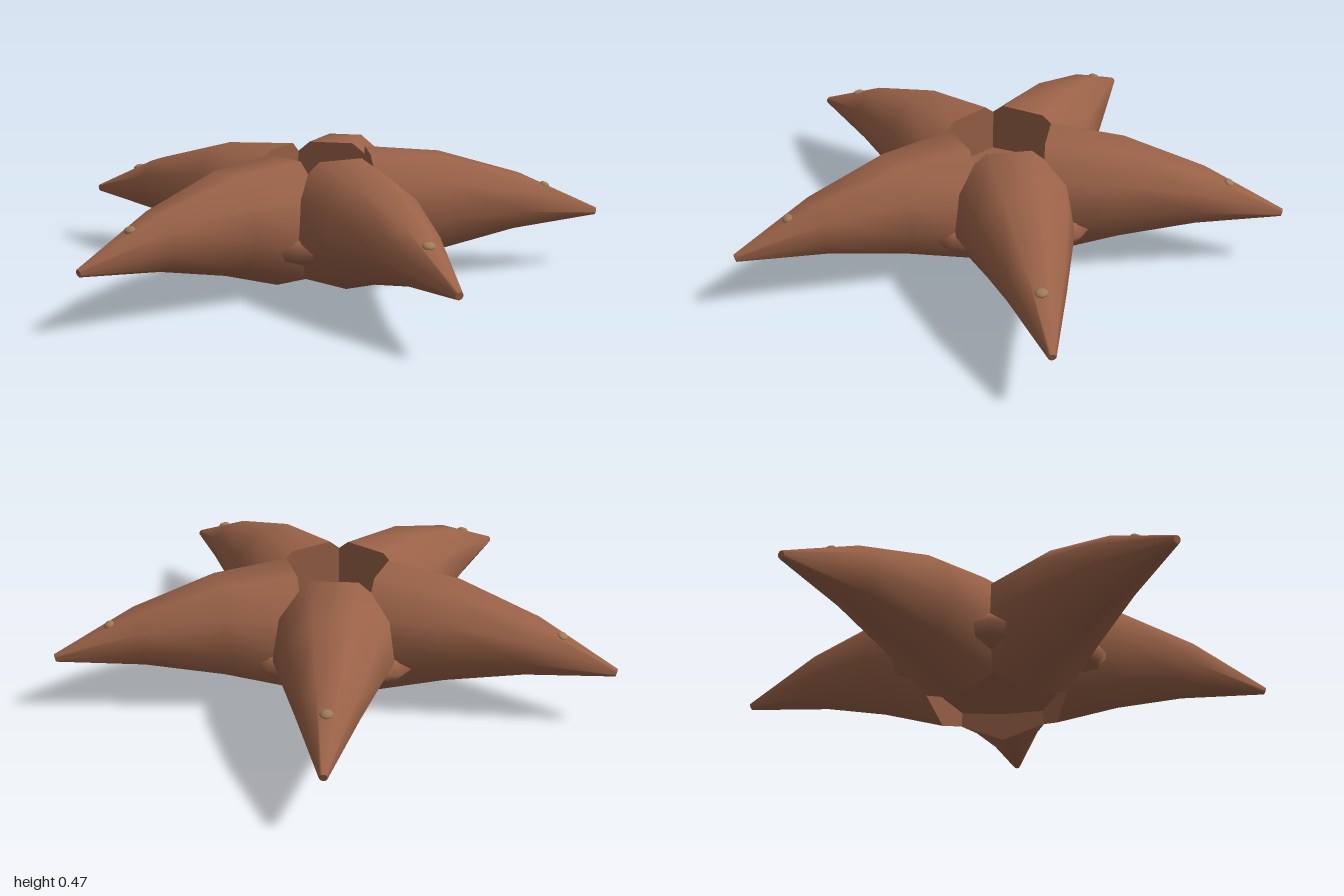
import * as THREE from 'three';
import { toCreasedNormals } from 'three/addons/utils/BufferGeometryUtils.js';

const ARMS = 5;
const CENTRE_X = -0.1;

// Arm cross-sections from base to tip: distance out, height, radius, lean
const RINGS = [
  [0.195, 0.242, 0.242, 0.1],
  [0.452, 0.272, 0.188, 0.02],
  [0.742, 0.262, 0.108, -0.1],
  [1.046, 0.213, 0.014, -0.2],
];

// Nine-sided capped tube bent and tapered along +x, one edge line on its belly
function armGeometry() {
  const geometry = new THREE.CylinderGeometry(1, 1, 1, 9, RINGS.length - 1);
  const p = geometry.attributes.position;
  for (let i = 0; i < p.count; i++) {
    const level = Math.round((p.getY(i) + 0.5) * (RINGS.length - 1));
    const [out, height, radius, lean] = RINGS[level];
    const up = -p.getZ(i) * radius;
    const side = -p.getX(i) * radius;
    p.setXYZ(i, out - up * Math.sin(lean), height + up * Math.cos(lean), side);
  }
  return toCreasedNormals(geometry, THREE.MathUtils.degToRad(55));
}

export function createModel() {
  const model = new THREE.Group();
  model.name = 'starfish';
  const skin = new THREE.MeshStandardMaterial({ color: 0x9a6248 });
  const spot = new THREE.MeshStandardMaterial({ color: 0xa07c58 });

  // Flattened body, showing in the middle and in the clefts between arms
  const body = new THREE.Mesh(new THREE.SphereGeometry(1, 10, 8), skin);
  body.name = 'body';
  body.scale.set(0.41, 0.1, 0.41);
  body.position.set(CENTRE_X, 0.185, 0);
  body.rotation.y = Math.PI / ARMS;
  model.add(body);

  // Five arms, each with a small bead near the tip
  const armShape = armGeometry();
  const beadShape = new THREE.SphereGeometry(0.02, 8, 6);
  for (let i = 0; i < ARMS; i++) {
    const arm = new THREE.Group();
    arm.name = `arm${i + 1}`;
    arm.position.x = CENTRE_X;
    arm.rotation.y = (i * 2 * Math.PI) / ARMS;

    const limb = new THREE.Mesh(armShape, skin);
    limb.name = 'limb';
    const bead = new THREE.Mesh(beadShape, spot);
    bead.name = 'bead';
    bead.position.set(0.845, 0.32, 0);
    bead.scale.set(1, 0.6, 1.2);
    bead.rotation.z = -0.4;
    arm.add(limb, bead);
    model.add(arm);
  }
  return model;
}
